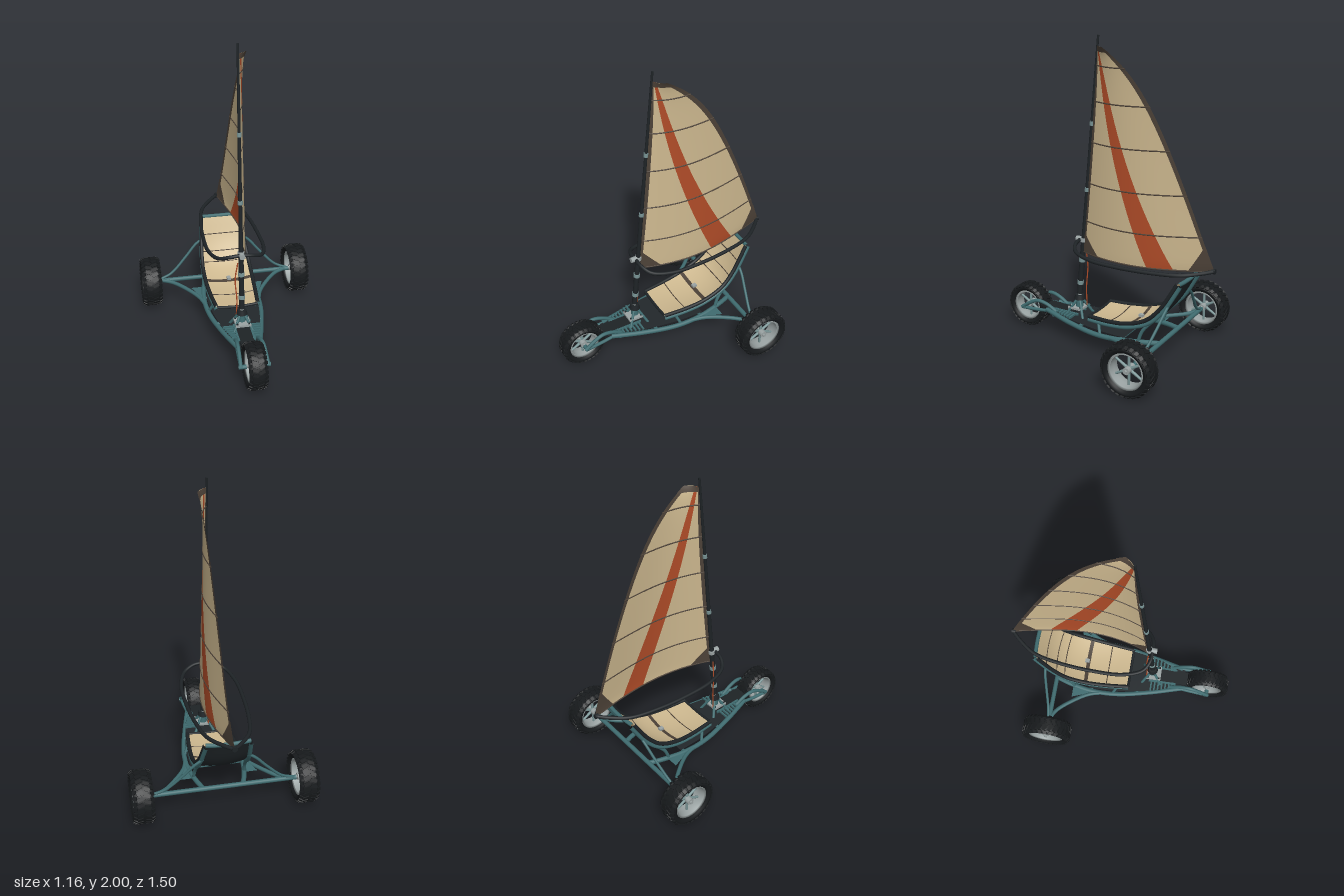
import * as THREE from 'three';
import { mergeGeometries } from 'three/addons/utils/BufferGeometryUtils.js';

const mat = (color, side = THREE.FrontSide) => {
  const m = new THREE.MeshStandardMaterial({ color });
  m.side = side;
  return m;
};
const D = THREE.DoubleSide;
const teal = mat(0x3f6c70), black = mat(0x1e2326), rubber = mat(0x171a1c), steel = mat(0x9ba4a4);
const spokeMat = mat(0x789394), cream = mat(0xcdb88f, D), brown = mat(0x4d4238, D);
const orange = mat(0xb04c28, D), darkCloth = mat(0x22282b, D);
const V = (x, y, z) => new THREE.Vector3(x, y, z);
const lerp = THREE.MathUtils.lerp;

export function createModel() {
  const model = new THREE.Group();

  const add = (name, geo, material, parent = model) => {
    const m = new THREE.Mesh(geo, material);
    m.name = name;
    parent.add(m);
    return m;
  };
  const tube = (name, pts, r, material, parent = model) => {
    const curve = pts.length === 2 ? new THREE.LineCurve3(...pts) : new THREE.CatmullRomCurve3(pts);
    return add(name, new THREE.TubeGeometry(curve, pts.length === 2 ? 1 : pts.length * 6, r, 10), material, parent);
  };
  // The same tube on both sides; points are [x, y, z] for the left side
  const pair = (name, pts, r, material) => {
    for (const [side, s] of [['left', 1], ['right', -1]])
      tube(side + name, pts.map(([x, y, z]) => V(s * x, y, z)), r, material);
  };
  const rod = (name, a, b, ra, rb, material, parent = model) => {
    const m = add(name, new THREE.CylinderGeometry(rb, ra, a.distanceTo(b), 16), material, parent);
    m.position.copy(a).lerp(b, 0.5);
    m.quaternion.setFromUnitVectors(V(0, 1, 0), b.clone().sub(a).normalize());
    return m;
  };
  const box = (name, size, pos, material) => {
    const m = add(name, new THREE.BoxGeometry(...size), material);
    m.position.set(...pos);
    return m;
  };
  // Grid surface from a function of (u, v)
  const sheet = (name, fn, nu, nv, material) => {
    const pos = [], idx = [];
    for (let j = 0; j <= nv; j++)
      for (let i = 0; i <= nu; i++) pos.push(...fn(i / nu, j / nv).toArray());
    for (let j = 0; j < nv; j++)
      for (let i = 0; i < nu; i++) {
        const a = j * (nu + 1) + i, b = a + 1, c = a + nu + 1, d = c + 1;
        idx.push(a, b, d, a, d, c);
      }
    const g = new THREE.BufferGeometry();
    g.setAttribute('position', new THREE.Float32BufferAttribute(pos, 3));
    g.setIndex(idx);
    g.computeVertexNormals();
    return add(name, g, material);
  };

  // Wheels: tyre, tread blocks, rim, hub and spokes, axis along x
  const wheel = (name, x, y, z, r, w, ri) => {
    const g = new THREE.Group();
    g.name = name;
    g.position.set(x, y, z);
    const lathe = (part, pts, material) =>
      add(part, new THREE.LatheGeometry(pts.map(p => new THREE.Vector2(...p)), 48), material, g).rotateZ(Math.PI / 2);
    const ro = r - 0.006;
    lathe('tyre', [[ri, -0.7 * w], [ri + 0.012, -0.86 * w], [(ri + ro) / 2, -0.97 * w], [ro - 0.014, -0.95 * w],
      [ro - 0.004, -0.75 * w], [ro, -0.35 * w], [ro, 0.35 * w], [ro - 0.004, 0.75 * w], [ro - 0.014, 0.95 * w],
      [(ri + ro) / 2, 0.97 * w], [ri + 0.012, 0.86 * w], [ri, 0.7 * w], [ri, -0.7 * w]], rubber);
    lathe('rim', [[ri - 0.01, -0.66 * w], [ri + 0.003, -0.74 * w], [ri + 0.003, 0.74 * w], [ri - 0.01, 0.66 * w],
      [ri - 0.012, 0], [ri - 0.01, -0.66 * w]], steel);
    const blocks = [], n = 28;
    for (let i = 0; i < n; i++)
      for (const s of [-1, 1]) {
        const turn = (i + (s > 0 ? 0.5 : 0)) * 2 * Math.PI / n;
        const centre = new THREE.BoxGeometry(0.62 * w, 0.01, r * 0.13);
        centre.rotateY(s * 0.4).translate(s * 0.34 * w, r - 0.006, 0).rotateX(turn);
        const shoulder = new THREE.BoxGeometry(0.36 * w, 0.014, r * 0.13);
        shoulder.rotateZ(-s * 0.6).translate(s * 0.82 * w, r - 0.013, 0).rotateX(turn + 0.05);
        blocks.push(centre, shoulder);
      }
    add('tread', mergeGeometries(blocks), rubber, g);
    rod('hub', V(-0.62 * w, 0, 0), V(0.62 * w, 0, 0), 0.022, 0.022, steel, g);
    rod('axlePin', V(-0.8 * w, 0, 0), V(0.8 * w, 0, 0), 0.01, 0.01, steel, g);
    for (let i = 0; i < 6; i++) {
      const a = i * Math.PI / 3 + Math.PI / 6, c = Math.cos(a), s = Math.sin(a);
      rod('spoke', V(0, s * 0.015, c * 0.015), V(0, s * (ri - 0.005), c * (ri - 0.005)), 0.01, 0.007, spokeMat, g);
    }
    model.add(g);
  };
  wheel('frontWheel', 0, 0.152, 0.602, 0.148, 0.057, 0.098);
  wheel('leftRearWheel', 0.516, 0.172, -0.455, 0.168, 0.064, 0.114);
  wheel('rightRearWheel', -0.516, 0.172, -0.455, 0.168, 0.064, 0.114);

  // Chassis
  pair('Rail', [[0.072, 0.17, 0.42], [0.13, 0.148, 0.2], [0.175, 0.14, -0.02], [0.182, 0.15, -0.2], [0.155, 0.162, -0.36], [0.125, 0.165, -0.455]], 0.016, teal);
  pair('Fork', [[0.07, 0.165, 0.34], [0.075, 0.21, 0.42], [0.08, 0.222, 0.49], [0.083, 0.19, 0.56], [0.086, 0.152, 0.615]], 0.012, teal);
  pair('LowerFork', [[0.072, 0.165, 0.4], [0.078, 0.155, 0.5], [0.085, 0.152, 0.61]], 0.011, teal);
  pair('ForkEnd', [[0.05, 0.152, 0.604], [0.1, 0.152, 0.604]], 0.014, teal);
  pair('RearArm', [[0.455, 0.17, -0.46], [0.37, 0.165, -0.42], [0.28, 0.16, -0.32], [0.21, 0.152, -0.21], [0.178, 0.145, -0.1]], 0.013, teal);
  pair('BackStrut', [[0.455, 0.175, -0.458], [0.37, 0.21, -0.47], [0.26, 0.32, -0.495], [0.19, 0.4, -0.51], [0.137, 0.44, -0.515]], 0.009, teal);
  pair('SeatStay', [[0.165, 0.16, -0.32], [0.16, 0.24, -0.35], [0.148, 0.35, -0.45]], 0.011, teal);
  pair('FrontStay', [[0.172, 0.145, -0.05], [0.14, 0.215, -0.02]], 0.01, teal);
  rod('rearAxle', V(-0.47, 0.167, -0.455), V(0.47, 0.167, -0.455), 0.015, 0.015, teal);
  for (const z of [-0.2, 0.12, 0.36]) {
    const x = z < 0 ? 0.18 : z < 0.2 ? 0.145 : 0.09;
    rod('crossTube', V(-x, 0.15, z), V(x, 0.15, z), 0.011, 0.011, teal);
  }
  for (const s of [-1, 1]) {
    sheet('gusset', (u, v) => V(s * lerp(0.18, lerp(0.25, 0.2, v), u), 0.16, lerp(-0.33, -0.2, v)), 1, 4, mat(0x3f6c70, D));
    // Ribbed foot rests
    for (let i = 0; i < 7; i++)
      box('footRestRib', [0.075 - i * 0.006, 0.012, 0.011], [s * (0.088 - i * 0.0045), 0.178, 0.21 + i * 0.025], teal);
    box('footRestEdge', [0.012, 0.014, 0.19], [s * 0.05, 0.178, 0.285], teal);
  }

  // Floor pan and nose plate
  const floorWidth = z => 0.165 - 0.105 * Math.pow(Math.max(0, (z + 0.1) / 0.55), 1.5);
  sheet('floorPan', (u, v) => {
    const z = lerp(-0.22, 0.44, v);
    return V((u * 2 - 1) * floorWidth(z), 0.162 + 0.01 * v, z);
  }, 4, 16, darkCloth);
  box('nosePlate', [0.095, 0.014, 0.23], [0, 0.176, 0.345], black);

  // Sling seat
  const seatCurve = new THREE.CatmullRomCurve3([[0.225, 0.055], [0.222, -0.1], [0.24, -0.25], [0.3, -0.39],
    [0.4, -0.48], [0.58, -0.575]].map(([y, z]) => V(0, y, z)));
  const seatAt = (drop) => (u, v) => {
    const p = seatCurve.getPoint(v), t = seatCurve.getTangent(v), k = u * 2 - 1;
    const half = 0.137 + 0.026 * Math.sin(Math.PI * v);
    const lift = 0.024 * k * k * (0.4 + 0.6 * Math.sin(Math.PI * v)) - drop;
    return V(k * half, p.y - t.z * lift, p.z + t.y * lift);
  };
  const seat = seatAt(0), under = seatAt(0.014);
  sheet('seatCloth', seat, 12, 32, cream);
  sheet('seatUnderside', under, 12, 32, darkCloth);
  const along = (fn, u) => Array.from({ length: 13 }, (_, i) => fn(u, i / 12));
  const across = (fn, v) => Array.from({ length: 9 }, (_, i) => fn(i / 8, v));
  for (const u of [0, 1]) {
    tube('seatEdge', along(seat, u), 0.013, black);
    tube('seatFrame', along(seatAt(0.024), u), 0.013, teal);
  }
  tube('seatFrontEdge', across(seat, 0), 0.009, black);
  tube('seatTopBar', across(seatAt(0.008), 1), 0.013, teal);
  for (const v of [0.2, 0.62, 0.74, 0.88]) tube('seatSeam', across(seatAt(-0.001), v), 0.003, brown);
  sheet('lapStrap', (u, v) => seatAt(-0.004)(u, lerp(0.38, 0.415, v)), 12, 2, brown);
  box('strapBuckle', [0.025, 0.016, 0.03], [0, 0.258, -0.255], steel);

  // Mast, foot and collars
  const mastZ = y => lerp(0.205, 0.06, (y - 0.33) / 1.67);
  const mastAt = y => V(0, y, mastZ(y));
  rod('lowerMast', mastAt(0.31), mastAt(0.72), 0.018, 0.016, black);
  rod('upperMast', mastAt(0.7), mastAt(2), 0.014, 0.007, black);
  for (const [y, r] of [[0.39, 0.021], [0.55, 0.021], [0.69, 0.022], [1.03, 0.016], [1.46, 0.014]])
    rod('mastCollar', mastAt(y - 0.013), mastAt(y + 0.013), r, r, y > 0.6 && y < 0.8 ? steel : spokeMat);
  box('mastPlate', [0.1, 0.014, 0.1], [0, 0.212, 0.22], steel);
  for (const x of [-1, 1]) for (const z of [-1, 1]) {
    rod('mastPlateBolt', V(x * 0.038, 0.215, 0.22 + z * 0.038), V(x * 0.038, 0.226, 0.22 + z * 0.038), 0.006, 0.006, black);
    rod('mastLeg', V(x * 0.07, 0.155, 0.21 + z * 0.07), V(x * 0.016, 0.265, 0.208 + z * 0.012), 0.009, 0.009, teal);
  }
  rod('mastFoot', V(0, 0.215, 0.208), V(0, 0.275, 0.208), 0.026, 0.02, teal);
  rod('mastPivot', V(0, 0.27, 0.208), V(0, 0.3, 0.207), 0.036, 0.028, black);
  rod('mastJoint', V(0, 0.3, 0.207), V(0, 0.335, 0.205), 0.013, 0.013, steel);

  // Wishbone boom
  pair('Boom', [[0, 0.69, 0.195], [0.07, 0.68, 0.19], [0.135, 0.655, 0.15], [0.178, 0.636, 0.02], [0.183, 0.63, -0.17],
    [0.165, 0.633, -0.4], [0.125, 0.64, -0.58], [0.05, 0.65, -0.69], [0, 0.656, -0.742]], 0.012, black);
  rod('boomClamp', V(0, 0.69, 0.16), V(0, 0.69, 0.225), 0.018, 0.018, steel);
  rod('boomEnd', V(0, 0.656, -0.725), V(0, 0.656, -0.75), 0.016, 0.016, black);

  // Twisted, cambered sail; u runs from mast to trailing edge, v from foot to head
  const sail = (u, v, off = 0) => {
    const luffY = lerp(0.61, 1.94, v), leechY = lerp(0.655, 1.94, v);
    const leechZ = -0.745 + 0.49 * v + 0.12 * v ** 3 + 0.135 * v ** 10;
    const camber = 0.085 * (1 - 0.85 * v) * Math.sin(Math.PI * Math.pow(u, 0.85));
    const sag = 0.012 * Math.sin(Math.PI * u) * (1 - v);
    return V(0.065 * Math.pow(v, 0.6) * u + camber + off, lerp(luffY, leechY, u) - sag, lerp(mastZ(luffY), leechZ, u));
  };
  const chord = v => 0.925 - 0.86 * v;
  const edges = [() => 0, v => 0.025 + 0.05 * v, v => 0.55 - 0.44 * v, v => 0.735 - 0.52 * v,
    v => 1 - Math.min(0.3, 0.022 / chord(v)), () => 1];
  ['sailSleeve', 'frontPanel', 'stripe', 'rearPanel', 'trailingTape'].forEach((name, i) =>
    sheet(name, (u, v) => sail(lerp(edges[i](v), edges[i + 1](v), u), v), 8, 48,
      [brown, cream, orange, cream, brown][i]));
  for (const v of [0.16, 0.35, 0.55, 0.745, 0.91])
    tube('batten', Array.from({ length: 13 }, (_, i) => sail(i / 12, v)), 0.0042, brown);
  tube('footHem', Array.from({ length: 17 }, (_, i) => sail(i / 16, 0)), 0.005, brown);
  // Reinforced corners on both faces
  for (const off of [-0.003, 0.003]) {
    sheet('clewPatch', (u, v) => sail(1 - u * 0.17 * (1 - v), v * 0.12, off), 6, 6, brown);
    sheet('tackPatch', (u, v) => sail(u * lerp(0.16, 0.03, v), v * 0.09, off), 6, 6, brown);
    sheet('headPatch', (u, v) => sail(u, lerp(0.975, 1, v), off), 6, 2, brown);
  }

  // Sheet rope from boom to chassis
  tube('controlRope', [V(-0.02, 0.62, 0.17), V(-0.035, 0.5, 0.165), V(-0.025, 0.35, 0.17), V(-0.03, 0.22, 0.17)], 0.004, orange);
  return model;
}
